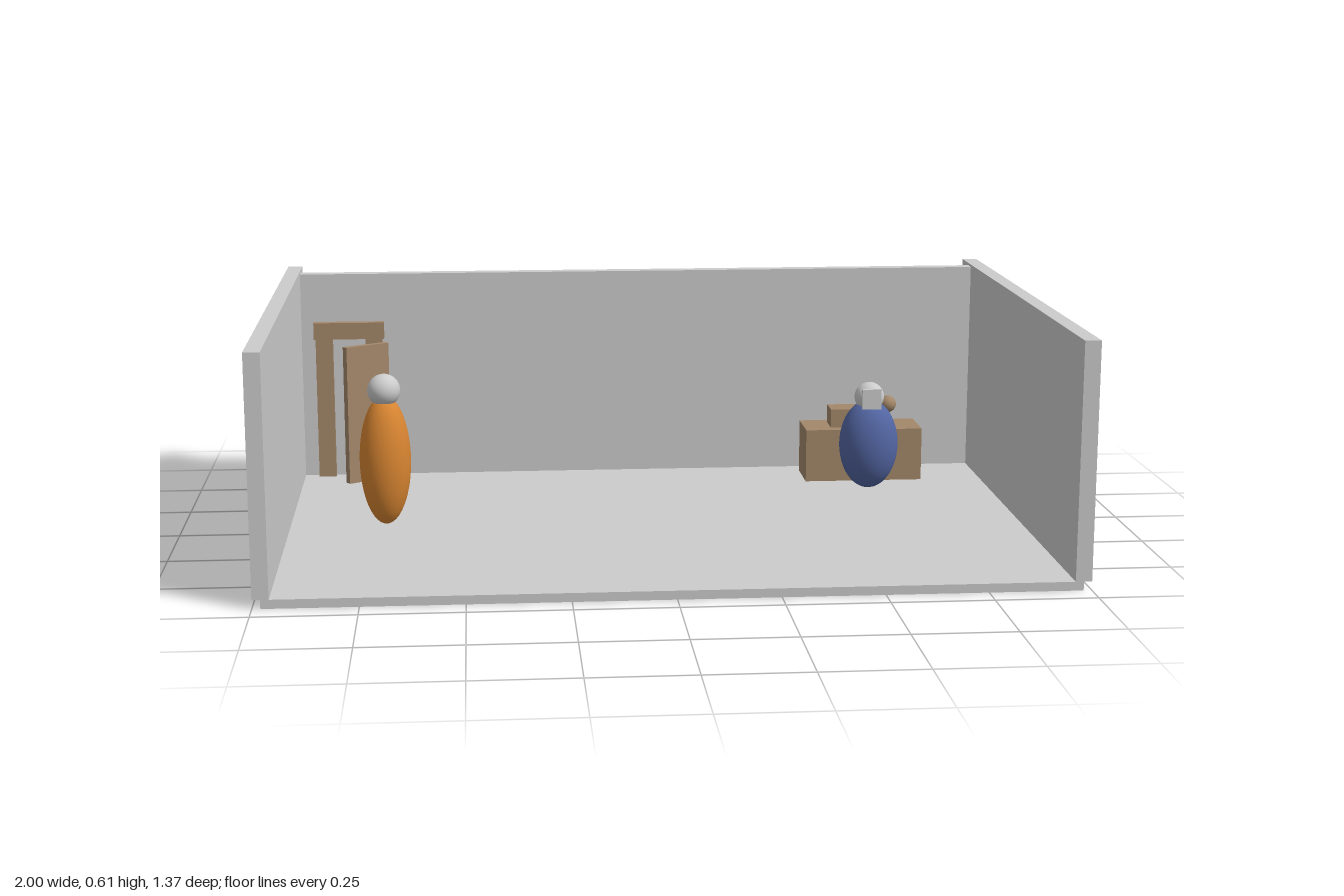
import * as THREE from 'three';

const material = (name, color) => {
  const m = new THREE.MeshStandardMaterial({ color });
  m.name = name;
  return m;
};

export function createModel() {
  const grey = material('pale grey', 0xcccccc);
  const wood = material('wood brown', 0xa3886a);
  const orange = material('orange', 0xd98632);
  const blue = material('blue', 0x5366a3);
  const model = new THREE.Group();
  model.name = 'room';

  const group = (name) => {
    const g = new THREE.Group();
    g.name = name;
    model.add(g);
    return g;
  };
  const add = (parent, name, geometry, mat, x, y, z) => {
    const mesh = new THREE.Mesh(geometry, mat);
    mesh.name = name;
    mesh.position.set(x, y, z);
    parent.add(mesh);
    return mesh;
  };
  // Box given by its lower and upper limits on each axis
  const box = (parent, name, mat, [x0, x1], [y0, y1], [z0, z1]) =>
    add(parent, name, new THREE.BoxGeometry(x1 - x0, y1 - y0, z1 - z0), mat,
      (x0 + x1) / 2, (y0 + y1) / 2, (z0 + z1) / 2);
  const ellipsoid = (parent, name, mat, [rx, ry, rz], x, y, z) =>
    add(parent, name, new THREE.SphereGeometry(1, 32, 24).scale(rx, ry, rz), mat, x, y, z);

  // Room shell: floor, two side walls and a recessed back wall
  const shell = group('shell');
  const floorTop = 0.022;
  box(shell, 'floor', grey, [-0.98, 0.98], [0, floorTop], [-0.686, 0.686]);
  box(shell, 'backWall', grey, [-0.96, 0.96], [floorTop, 0.603], [-0.61, -0.573]);
  box(shell, 'rightWall', grey, [-1, -0.96], [floorTop, 0.61], [-0.686, 0.686]);
  box(shell, 'leftWall', grey, [0.96, 1], [floorTop, 0.61], [-0.686, 0.686]);

  // Doorway with the leaf standing ajar
  const doorway = group('doorway');
  const frameZ = [-0.573, -0.549];
  box(doorway, 'lintel', wood, [-0.925, -0.727], [0.42, 0.467], frameZ);
  box(doorway, 'rightPost', wood, [-0.92, -0.872], [floorTop, 0.42], frameZ);
  box(doorway, 'leftPost', wood, [-0.78, -0.732], [floorTop, 0.42], frameZ);
  const leaf = add(doorway, 'doorLeaf', new THREE.BoxGeometry(0.137, 0.39, 0.02), wood,
    -0.777, floorTop + 0.195, -0.5);
  leaf.rotation.y = 0.585;

  // Desk with a box and a small ball above it
  const desk = group('desk');
  box(desk, 'deskBody', wood, [0.46, 0.79], [floorTop, 0.17], [-0.52, -0.383]);
  box(desk, 'deskBox', wood, [0.535, 0.64], [0.17, 0.222], [-0.49, -0.416]);
  ellipsoid(desk, 'ball', wood, [0.024, 0.024, 0.024], 0.703, 0.229, -0.452);

  // Standing figure
  const visitor = group('standingFigure');
  ellipsoid(visitor, 'standingBody', orange, [0.067, 0.172, 0.067], -0.709, 0.195, 0);
  ellipsoid(visitor, 'standingHead', grey, [0.043, 0.043, 0.043], -0.709, 0.381, 0);

  // Figure at the desk, with a thin plate on its head
  const clerk = group('deskFigure');
  ellipsoid(clerk, 'deskFigureBody', blue, [0.082, 0.125, 0.07], 0.624, 0.147, -0.305);
  ellipsoid(clerk, 'deskFigureHead', grey, [0.041, 0.041, 0.041], 0.624, 0.281, -0.305);
  box(clerk, 'facePlate', grey, [0.597, 0.65], [0.254, 0.31], [-0.265, -0.256]);

  return model;
}
